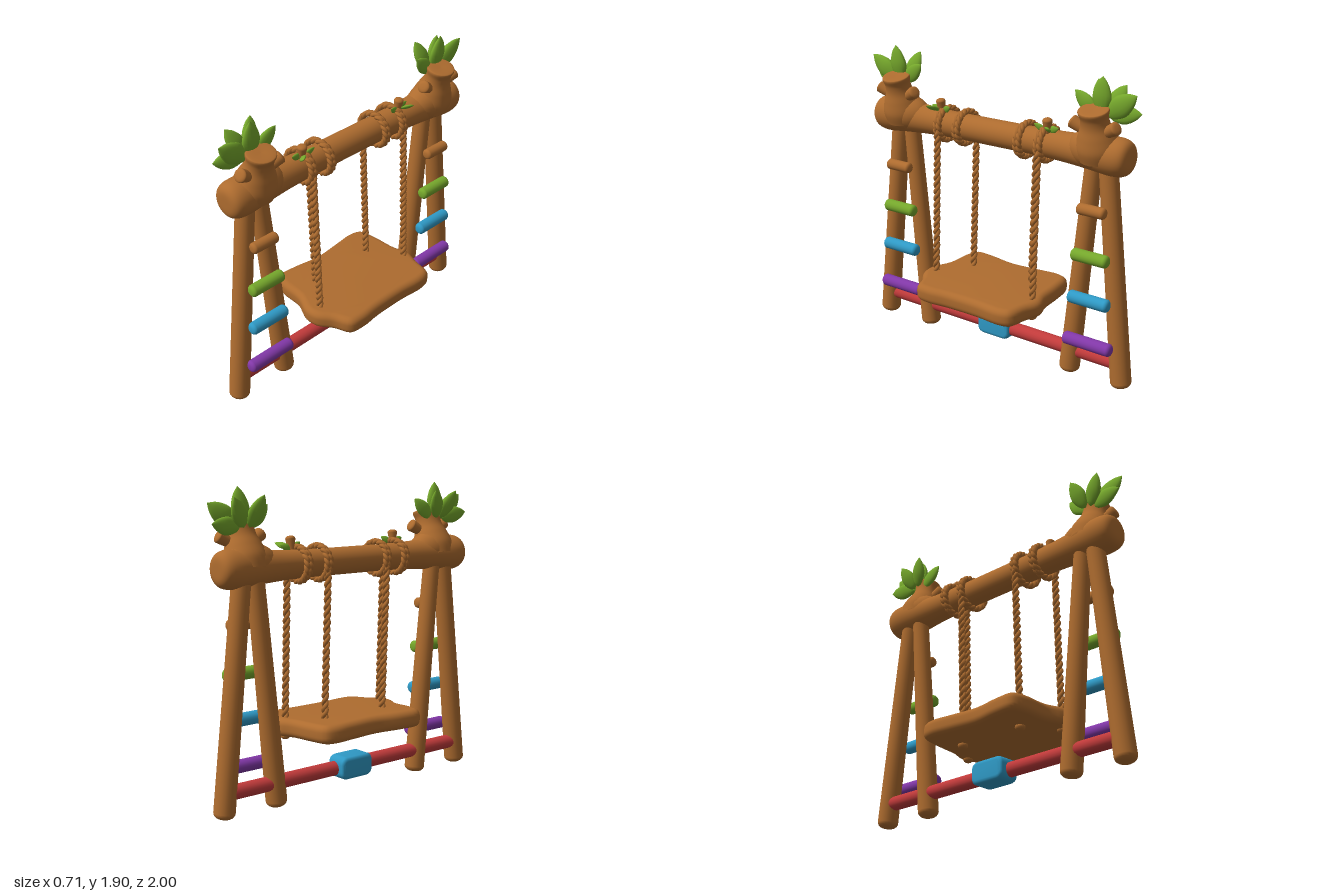
import * as THREE from 'three';
import { toCreasedNormals } from 'three/addons/utils/BufferGeometryUtils.js';

const V = (x, y, z) => new THREE.Vector3(x, y, z);
const UP = V(0, 1, 0);

export function createModel() {
  const mat = (name, color) => {
    const m = new THREE.MeshStandardMaterial({ color });
    m.name = name;
    return m;
  };
  const wood = mat('wood brown', 0xae6c2f);
  const green = mat('leaf green', 0x76a82c);
  const blue = mat('sky blue', 0x2f9ac6);
  const purple = mat('purple', 0x8238a8);
  const red = mat('red', 0xc23b3b);

  const model = new THREE.Group();
  // the frame runs along z, turned slightly about the vertical
  const frame = new THREE.Group();
  frame.name = 'swingFrame';
  frame.position.x = -0.055;
  frame.rotation.y = 0.063;
  model.add(frame);

  const add = (parent, name, geo, material) => {
    const mesh = new THREE.Mesh(geo, material);
    mesh.name = name;
    parent.add(mesh);
    return mesh;
  };
  // stand a y-axis mesh at a, pointing along dir
  const aim = (mesh, a, dir) => {
    mesh.position.copy(a);
    mesh.quaternion.setFromUnitVectors(UP, dir.clone().normalize());
    return mesh;
  };
  // smooth turned profile through [radius, height] pairs
  const turned = (pairs, sides = 24, steps = 32) => {
    const curve = new THREE.SplineCurve(pairs.map(([r, y]) => new THREE.Vector2(r, y)));
    const pts = curve.getPoints(steps);
    pts.forEach((p) => { p.x = Math.max(0, p.x); });
    return new THREE.LatheGeometry(pts, sides);
  };
  // tapered pole with rounded ends, from a to b
  const pole = (parent, name, a, b, r0, r1, material, round = 0.6) => {
    const d = b.clone().sub(a);
    const len = d.length();
    const pts = [];
    for (let i = 0; i <= 6; i++) {
      const t = (i / 6) * Math.PI / 2;
      pts.push(new THREE.Vector2(r0 * Math.sin(t) ** 0.7, r0 * round * (1 - Math.cos(t))));
    }
    for (let i = 6; i >= 0; i--) {
      const t = (i / 6) * Math.PI / 2;
      pts.push(new THREE.Vector2(r1 * Math.sin(t) ** 0.7, len - r1 * round * (1 - Math.cos(t))));
    }
    return aim(add(parent, name, new THREE.LatheGeometry(pts, 20), material), a, d);
  };
  const leaf = (parent, base, dir, size) => {
    const geo = turned([[0, 0], [0.035, 0.03], [0.056, 0.1], [0.036, 0.17], [0, 0.215]], 14, 16);
    geo.scale(0.45, 1, 1);
    const m = aim(add(parent, 'leaf', geo, green), base, dir);
    m.scale.setScalar(size);
  };
  // two twisted strands following pointAt(t, phase)
  const rope = (name, pointAt, segments, closed) => {
    const g = new THREE.Group();
    g.name = name;
    frame.add(g);
    for (const phase of [0, Math.PI]) {
      const pts = [];
      const n = closed ? segments : segments + 1;
      for (let i = 0; i < n; i++) pts.push(pointAt(i / segments, phase));
      const curve = new THREE.CatmullRomCurve3(pts, closed);
      add(g, 'ropeStrand', new THREE.TubeGeometry(curve, segments * 2, 0.0135, 6, closed), wood);
    }
  };

  // top beam, thicker at both ends
  const half = [[0.083, 0], [0.084, 0.3], [0.09, 0.52], [0.103, 0.7], [0.115, 0.83], [0.106, 0.91], [0.07, 0.945], [0, 0.95]];
  const beamProfile = [...half.slice(1).reverse().map(([r, y]) => [r, -y]), ...half];
  const beam = add(frame, 'topBeam', turned(beamProfile, 32, 80), wood);
  beam.rotation.x = Math.PI / 2;
  beam.position.y = 1.445;

  const rungs = [
    [0.27, 0.17, 0.04, purple], [0.55, 0.142, 0.04, blue],
    [0.825, 0.126, 0.039, green], [1.115, 0.096, 0.035, wood],
  ];
  for (const s of [1, -1]) {
    // A-frame legs
    pole(frame, 'outerLeg', V(-0.015, 0.005, s * 0.94), V(-0.015, 1.46, s * 0.785), 0.065, 0.057, wood);
    pole(frame, 'innerLeg', V(-0.015, 0.005, s * 0.563), V(-0.015, 1.46, s * 0.705), 0.065, 0.053, wood);
    // ladder rungs
    for (const [y, w, r, m] of rungs) {
      pole(frame, 'ladderRung', V(0.07, y, s * 0.742 - w), V(0.07, y, s * 0.742 + w), r, r, m);
    }
    // sawn stump leaning out of the beam
    const stump = add(frame, 'stump', turned(
      [[0.12, 0], [0.125, 0.07], [0.105, 0.14], [0.083, 0.2], [0.078, 0.25], [0.086, 0.292], [0.07, 0.302], [0, 0.3]], 24, 40), wood);
    aim(stump, V(0, 1.43, s * 0.74), V(0.085, 0.29, 0));
    stump.scale.z = 1.08;
    // flare where the stump grows from the beam
    const flare = add(frame, 'stumpFlare', new THREE.SphereGeometry(1, 24, 16), wood);
    flare.scale.set(0.115, 0.12, 0.19);
    flare.position.set(0.01, 1.47, s * 0.73);
    // short side twigs
    for (const k of [1, -1]) {
      pole(frame, 'twig', V(0.05, 1.57, s * 0.74 + k * 0.04), V(0.075, 1.635, s * 0.74 + k * 0.155), 0.03, 0.04, wood, 0.4);
    }
    // leaf crown behind the stump
    const crown = [[1.42, 0.95, -0.12], [0.95, 1.15, 0.05], [0.5, 0.95, -0.25], [0.08, 1.08, 0.1], [-0.35, 0.95, -0.3], [-0.85, 0.88, 0.05]];
    for (const [angle, size, lean] of crown) {
      leaf(frame, V(0.01 + lean * 0.1, 1.675, s * (0.75 + 0.04 * Math.sin(angle))),
        V(lean, Math.cos(angle), s * Math.sin(angle)), size);
    }
    // small sprig on the beam
    pole(frame, 'sprigTwig', V(0.03, 1.5, s * 0.4), V(0.045, 1.61, s * 0.405), 0.018, 0.03, wood);
    leaf(frame, V(0.03, 1.53, s * 0.4), V(0.1, 0.35, s), 0.4);
    leaf(frame, V(0.04, 1.53, s * 0.39), V(0.25, 0.55, -s), 0.38);
    leaf(frame, V(0.05, 1.54, s * 0.41), V(0.5, 0.2, s * 0.4), 0.42);

    // ropes: outer pair to the front of the seat, inner pair to the back
    for (const [z, x0, x1] of [[0.382, 0.105, 0.14], [0.232, -0.1, -0.06]]) {
      rope('swingRope', (t, p) => {
        const a = t * Math.PI * 2 * 11 + p;
        return V(THREE.MathUtils.lerp(x0, x1, t) + 0.01 * Math.cos(a), 1.44 - 0.99 * t, s * z + 0.01 * Math.sin(a));
      }, 100, false);
      for (const dz of [-0.012, 0.012]) {
        rope('ropeLoop', (t, p) => {
          const a = t * Math.PI * 2;
          const r = 0.102 + 0.007 * Math.cos(a * 9 + p);
          return V(r * Math.cos(a) * 1.06, 1.445 + r * Math.sin(a), s * z + dz * Math.cos(a) + 0.007 * Math.sin(a * 9 + p));
        }, 72, true);
      }
      // knot under the seat
      const knot = add(frame, 'ropeKnot', new THREE.SphereGeometry(0.032, 14, 10), wood);
      knot.position.set(x1, 0.378, s * z);
      knot.scale.y = 0.75;
    }
  }

  // red ground bar and its blue block
  pole(frame, 'groundBar', V(-0.02, 0.155, -0.9), V(-0.02, 0.155, 0.9), 0.045, 0.045, red, 0.2);
  const w = 0.1, h = 0.048, c = 0.025;
  const face = new THREE.Shape();
  face.moveTo(-w + c, -h).lineTo(w - c, -h).quadraticCurveTo(w, -h, w, -h + c)
    .lineTo(w, h - c).quadraticCurveTo(w, h, w - c, h)
    .lineTo(-w + c, h).quadraticCurveTo(-w, h, -w, h - c)
    .lineTo(-w, -h + c).quadraticCurveTo(-w, -h, -w + c, -h);
  const blockGeo = new THREE.ExtrudeGeometry(face, { depth: 0.1, bevelSize: 0.024, bevelThickness: 0.024, bevelSegments: 4, curveSegments: 5 });
  blockGeo.translate(0, 0, -0.05);
  const block = add(frame, 'barBlock', toCreasedNormals(blockGeo, 0.7), blue);
  block.rotation.y = Math.PI / 2;
  block.position.set(-0.03, 0.16, 0);

  // irregular plank seat, outline in (x, z)
  const outline = [
    [-0.33, -0.36], [-0.2, -0.395], [-0.05, -0.415], [0.05, -0.45], [0.15, -0.425], [0.28, -0.4], [0.312, -0.33],
    [0.313, -0.15], [0.33, 0.08], [0.352, 0.22], [0.34, 0.32], [0.24, 0.375], [0.16, 0.44], [0.07, 0.455],
    [-0.06, 0.41], [-0.22, 0.41], [-0.31, 0.375], [-0.32, 0.24], [-0.305, 0.06], [-0.335, -0.14], [-0.355, -0.28],
  ].map(([x, z]) => V(x, -z, 0));
  const b = 0.042;
  const edge = new THREE.CatmullRomCurve3(outline, true).getPoints(84).slice(0, -1);
  const seatShape = new THREE.Shape(edge.map((p) => new THREE.Vector2(p.x, p.y)));
  const seatGeo = new THREE.ExtrudeGeometry(seatShape, { depth: 0.115 - 2 * b, bevelSize: b, bevelThickness: b, bevelOffset: -b, bevelSegments: 6 });
  seatGeo.translate(0, 0, -(0.115 - 2 * b) / 2);
  seatGeo.rotateX(-Math.PI / 2);
  const seat = add(model, 'seat', toCreasedNormals(seatGeo, 0.7), wood);
  seat.position.y = 0.438;
  seat.rotation.z = -0.04;

  return model;
}
